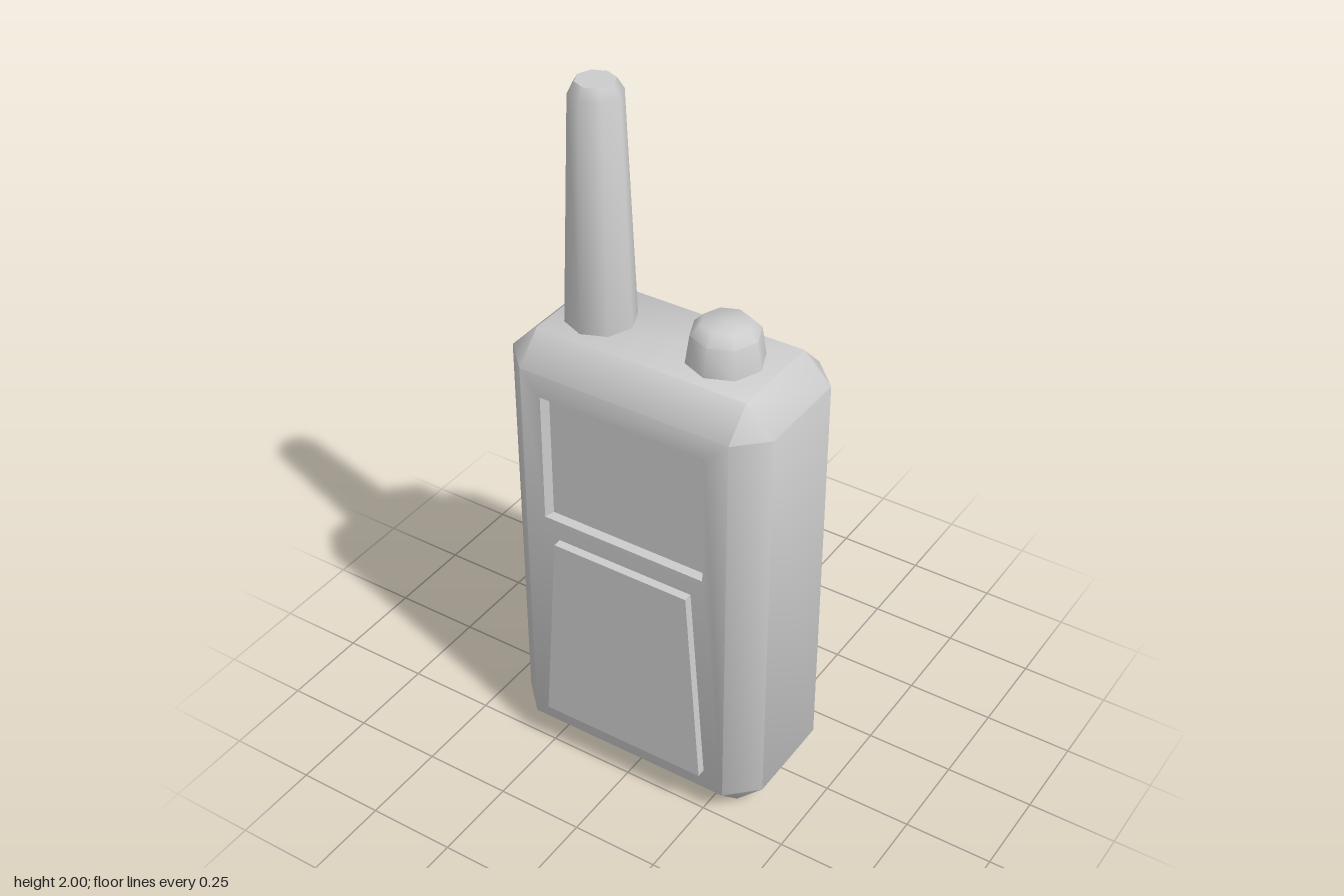
import * as THREE from 'three';
import { toCreasedNormals } from 'three/addons/utils/BufferGeometryUtils.js';

const CREASE = 0.9;

// Eight-point ring, counter-clockwise from the front: a rectangle with corners cut by c
function ring(x0, x1, y0, y1, z, c = 0) {
  return [
    [x1, y0 + c, z], [x1, y1 - c, z], [x1 - c, y1, z], [x0 + c, y1, z],
    [x0, y1 - c, z], [x0, y0 + c, z], [x0 + c, y0, z], [x1 - c, y0, z],
  ];
}

// Skin rings ordered from back (-z) to front (+z) and cap both ends
function loft(rings) {
  const pos = [];
  const same = (a, b) => a.every((v, i) => Math.abs(v - b[i]) < 1e-6);
  const tri = (a, b, c) => {
    if (!same(a, b) && !same(b, c) && !same(a, c)) pos.push(...a, ...b, ...c);
  };
  for (let r = 0; r < rings.length - 1; r++) {
    const p = rings[r], q = rings[r + 1];
    for (let i = 0; i < 8; i++) {
      const j = (i + 1) % 8;
      tri(p[i], p[j], q[j]);
      tri(p[i], q[j], q[i]);
    }
  }
  const first = rings[0], last = rings[rings.length - 1];
  for (let i = 1; i < 7; i++) {
    tri(first[0], first[i + 1], first[i]);
    tri(last[0], last[i], last[i + 1]);
  }
  const g = new THREE.BufferGeometry();
  g.setAttribute('position', new THREE.Float32BufferAttribute(pos, 3));
  return toCreasedNormals(g, CREASE);
}

// Eight-sided turned part
function turned(profile) {
  const g = new THREE.LatheGeometry(profile.map(([r, y]) => new THREE.Vector2(r, y)), 8);
  return toCreasedNormals(g, CREASE);
}

export function createModel() {
  const group = new THREE.Group();
  const grey = new THREE.MeshStandardMaterial({ color: 0xcccccc });
  grey.name = 'casing grey';

  const add = (name, geometry, x = 0, y = 0, z = 0) => {
    const mesh = new THREE.Mesh(geometry, grey);
    mesh.name = name;
    mesh.position.set(x, y, z);
    group.add(mesh);
  };

  // Chamfered casing, with the screen recess sunk into its front face
  add('body', loft([
    ring(-0.31, 0.31, 0.08, 1.255, -0.187),
    ring(-0.39, 0.39, 0, 1.335, -0.107, 0.08),
    ring(-0.39, 0.39, 0, 1.335, 0.17, 0.08),
    ring(-0.31, 0.31, 0.08, 1.255, 0.25),
    ring(-0.25, 0.24, 0.805, 1.187, 0.25),
    ring(-0.237, 0.232, 0.812, 1.178, 0.228),
  ]));

  // Tapered speaker panel
  const panel = new THREE.Shape([
    new THREE.Vector2(-0.25, 0.143), new THREE.Vector2(0.25, 0.143),
    new THREE.Vector2(0.205, 0.745), new THREE.Vector2(-0.205, 0.745),
  ]);
  add('speakerPanel', new THREE.ExtrudeGeometry(panel, { depth: 0.035, bevelEnabled: false }), 0, 0, 0.24);

  // Battery cover on the back
  add('batteryCover', loft([
    ring(-0.207, 0.207, 0.47, 1.152, -0.275),
    ring(-0.26, 0.26, 0.43, 1.192, -0.225),
    ring(-0.255, 0.255, 0.43, 1.192, -0.18),
  ]));

  // Antenna and volume knob on the top
  add('antenna', turned([[0.096, 1.32], [0.07, 1.97], [0.052, 2], [0, 2]]), -0.2, 0, 0.043);
  add('volumeKnob', turned([[0.106, 1.32], [0.092, 1.415], [0.065, 1.443], [0, 1.443]]), 0.165, 0, 0.031);

  return group;
}
